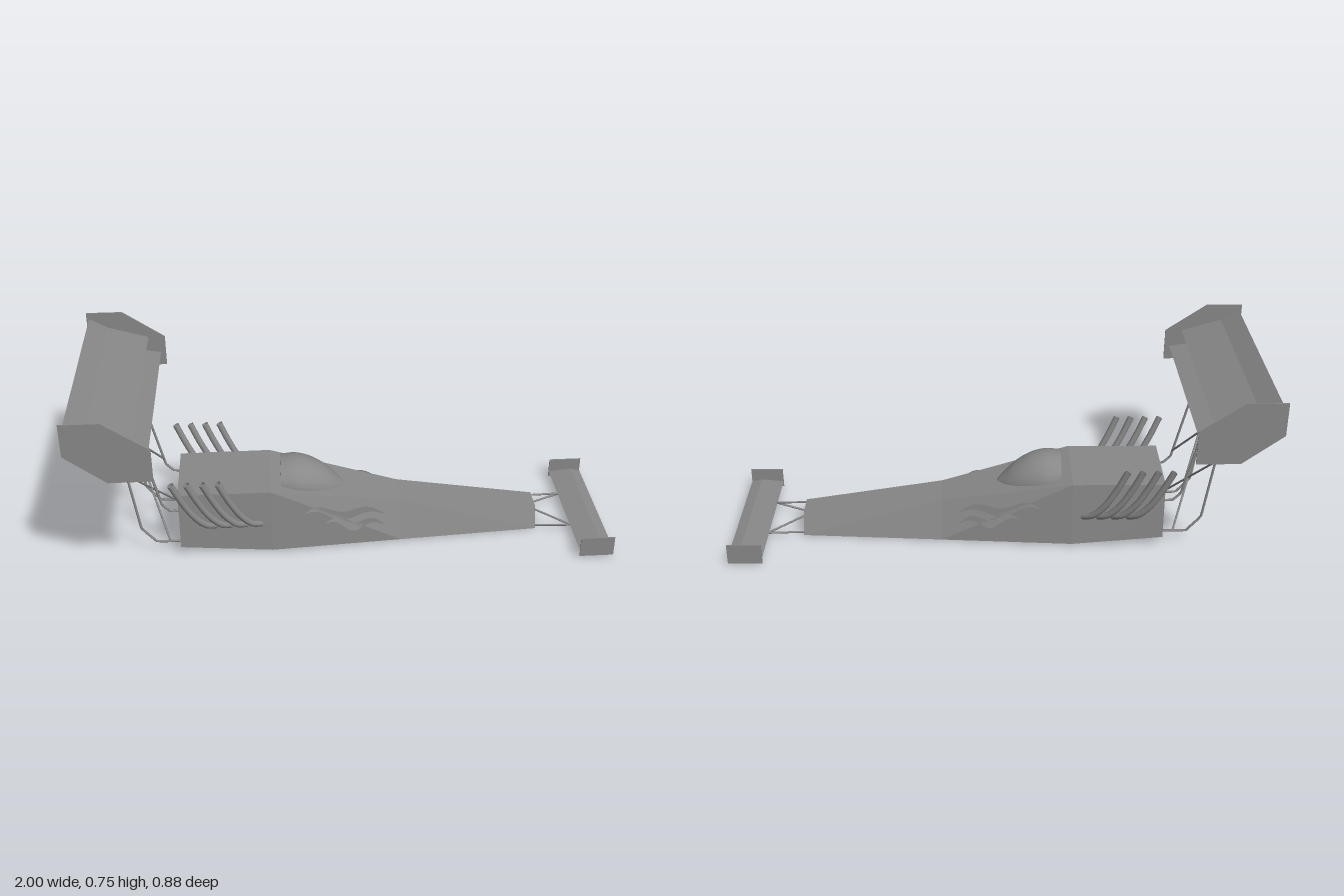
import * as THREE from 'three';
import { toCreasedNormals } from 'three/addons/utils/BufferGeometryUtils.js';

const V = (x, y, z) => new THREE.Vector3(x, y, z);
const material = new THREE.MeshStandardMaterial({ color: 0x888888, side: THREE.DoubleSide });

function add(parent, name, geometry) {
  const mesh = new THREE.Mesh(geometry, material);
  mesh.name = name;
  parent.add(mesh);
  return mesh;
}

// Skin over rings of points that run along +x, closed at both ends;
// the quads are split in mirror image on the two sides
function loft(rings, crease) {
  const n = rings[0].length, index = [];
  for (let i = 0; i < rings.length - 1; i++) {
    for (let j = 0; j < n; j++) {
      const a = i * n + j, b = i * n + (j + 1) % n;
      if (rings[i][j].z > 0) index.push(a, b, b + n, a, b + n, a + n);
      else index.push(a, b, a + n, b, b + n, a + n);
    }
  }
  const last = (rings.length - 1) * n;
  for (let j = 1; j < n - 1; j++) {
    index.push(0, j + 1, j, last, last + j, last + j + 1);
  }
  const geometry = new THREE.BufferGeometry().setFromPoints(rings.flat());
  geometry.setIndex(index);
  return toCreasedNormals(geometry, crease);
}

// Side profile in x and y, extruded across z
function extrudeAcross(points, width, z = 0) {
  const shape = new THREE.Shape(points.map(([x, y]) => new THREE.Vector2(x, y)));
  const geometry = new THREE.ExtrudeGeometry(shape, { depth: width, bevelEnabled: false });
  return geometry.translate(0, 0, z - width / 2);
}

// Bent rod made of straight pieces
function rod(points, radius = 0.0048) {
  const path = new THREE.CurvePath();
  for (let i = 1; i < points.length; i++) path.add(new THREE.LineCurve3(points[i - 1], points[i]));
  return new THREE.TubeGeometry(path, points.length > 2 ? 32 : 1, radius, 8);
}

// Body stations: x, bottom y, top y, bottom half width, top half width
const stations = [
  [-0.65, 0.038, 0.264, 0.165, 0.153],
  [-0.30, 0.011, 0.264, 0.17, 0.155],
  [0.20, 0.006, 0.154, 0.128, 0.075],
  [0.74, 0, 0.084, 0.083, 0.048],
];
const bodyRings = stations.map(([x, y0, y1, w0, w1]) => [
  V(x, y1, -w1), V(x, y1, w1), V(x, y0, w0), V(x, y0, -w0),
]);

function deckHeight(x) {
  const i = x > 0.2 ? 2 : 1;
  const [a, b] = [stations[i], stations[i + 1]];
  return THREE.MathUtils.mapLinear(x, a[0], b[0], a[2], b[2]);
}

// Teardrop bubble with a flat back; guide points hold x, top y and half width
function buildCanopy() {
  const guide = new THREE.CatmullRomCurve3([
    V(-0.26, 0.316, 0.103), V(-0.2, 0.321, 0.112), V(-0.14, 0.305, 0.101),
    V(-0.08, 0.267, 0.075), V(-0.035, 0.222, 0.04), V(-0.005, 0.192, 0.004),
  ]);
  const rings = guide.getPoints(24).map((p) => {
    const base = deckHeight(p.x) - 0.012;
    return Array.from({ length: 25 }, (_, j) => {
      const a = (j / 24 - 0.5) * Math.PI;
      return V(p.x, base + (p.y - base) * Math.cos(a), p.z * Math.sin(a));
    });
  });
  return loft(rings, 0.7);
}

// The two planes of the folded body side between the middle stations
const sidePlanes = [
  [bodyRings[1][1], bodyRings[1][2], bodyRings[2][2]],
  [bodyRings[1][1], bodyRings[2][2], bodyRings[2][1]],
].map((corners) => new THREE.Plane().setFromCoplanarPoints(...corners));

// Wavy flame ribbon laid on a body side, pointed at both ends
function buildSideFlame(side, x0, length, y0, height) {
  const geometry = new THREE.PlaneGeometry(1, 1, 28, 4);
  const p = geometry.attributes.position;
  for (let i = 0; i < p.count; i++) {
    const u = p.getX(i) + 0.5;
    const x = x0 + length * u;
    const y = y0 - 0.03 * u + 0.014 * Math.sin(u * 10) + p.getY(i) * height * Math.sin(u * Math.PI);
    const z = Math.max(...sidePlanes.map((s) => -(s.normal.x * x + s.normal.y * y + s.constant) / s.normal.z));
    p.setXYZ(i, x, y, side * (z + 0.002));
  }
  if (side < 0) geometry.index.array.reverse();
  geometry.computeVertexNormals();
  return geometry;
}

// Mirrored flame lying on the sloping nose deck
function buildDeckFlame() {
  const half = [[0.34, 0], [0.3, 0.02], [0.38, 0.05], [0.44, 0.035], [0.5, 0.05], [0.56, 0.02], [0.53, 0]];
  const outline = [...half, ...half.slice(1, -1).reverse().map(([x, z]) => [x, -z])];
  const geometry = new THREE.ShapeGeometry(new THREE.Shape(outline.map(([x, z]) => new THREE.Vector2(x, -z))));
  geometry.rotateX(-Math.PI / 2);
  const p = geometry.attributes.position;
  for (let i = 0; i < p.count; i++) p.setY(i, deckHeight(p.getX(i)) + 0.002);
  geometry.computeVertexNormals();
  return geometry;
}

export function createModel() {
  const model = new THREE.Group();
  model.name = 'dragster';
  add(model, 'body', loft(bodyRings, 0.02));
  add(model, 'canopy', buildCanopy());
  add(model, 'deckFlame', buildDeckFlame());

  // Rear wing: two blades between six-sided end plates
  const rearWing = new THREE.Group();
  rearWing.name = 'rearWing';
  model.add(rearWing);
  add(rearWing, 'rearWingMainBlade', extrudeAcross([
    [-0.99, 0.726], [-0.92, 0.686], [-0.765, 0.64], [-0.92, 0.672],
  ], 0.88));
  add(rearWing, 'rearWingLowerBlade', extrudeAcross([
    [-0.87, 0.597], [-0.72, 0.571], [-0.8, 0.571],
  ], 0.88));
  const plate = [[-1, 0.75], [-0.86, 0.75], [-0.7, 0.64], [-0.7, 0.516], [-0.855, 0.516], [-1, 0.626]];

  // Front wing
  const frontWing = new THREE.Group();
  frontWing.name = 'frontWing';
  model.add(frontWing);
  add(frontWing, 'frontWingBlade', extrudeAcross([
    [0.87, 0.03], [0.96, 0.021], [1, 0.03], [0.96, 0.039],
  ], 0.57));

  for (const s of [1, -1]) {
    const label = s > 0 ? 'Front' : 'Back';
    add(rearWing, 'rearEndPlate' + label, extrudeAcross(plate, 0.004, s * 0.44));
    add(frontWing, 'frontEndPlate' + label, new THREE.BoxGeometry(0.13, 0.08, 0.004))
      .position.set(0.935, 0.046, s * 0.286);

    // Rear wing frame: bent uprights and crossed braces
    const z = s * 0.145;
    add(rearWing, 'rearUpright', rod([
      V(-0.865, 0.592, z), V(-0.83, 0.358, z), V(-0.795, 0.118, z), V(-0.74, 0.055, z), V(-0.64, 0.055, z),
    ]));
    add(rearWing, 'forwardUpright', rod([
      V(-0.795, 0.575, z), V(-0.71, 0.222, z), V(-0.68, 0.192, z), V(-0.64, 0.192, z),
    ]));
    add(rearWing, 'upperBrace', rod([V(-0.86, 0.568, z), V(-0.715, 0.247, -z)], 0.004));
    add(rearWing, 'lowerBrace', rod([V(-0.83, 0.358, z), V(-0.69, 0.057, -z)], 0.004));

    // Front wing struts
    add(frontWing, 'frontStrut', rod([V(0.735, 0.07, s * 0.05), V(0.875, 0.03, s * 0.113)], 0.004));
    add(frontWing, 'frontStrut', rod([V(0.735, 0.01, s * 0.075), V(0.875, 0.03, s * 0.113)], 0.004));

    // Four swept exhaust pipes on each side
    for (let i = 0; i < 4; i++) {
      const x = -0.34 - i * 0.057;
      const path = new THREE.CatmullRomCurve3([
        V(x, 0.127, s * 0.155), V(x - 0.034, 0.147, s * 0.182), V(x - 0.075, 0.195, s * 0.2),
        V(x - 0.118, 0.272, s * 0.212), V(x - 0.155, 0.355, s * 0.222),
      ]);
      add(model, 'exhaustPipe', new THREE.TubeGeometry(path, 20, 0.0125, 12));
    }

    // Flame ribbons on the body sides
    add(model, 'sideFlame', buildSideFlame(s, -0.18, 0.32, 0.165, 0.035));
    add(model, 'sideFlame', buildSideFlame(s, -0.1, 0.24, 0.115, 0.03));
  }
  return model;
}
